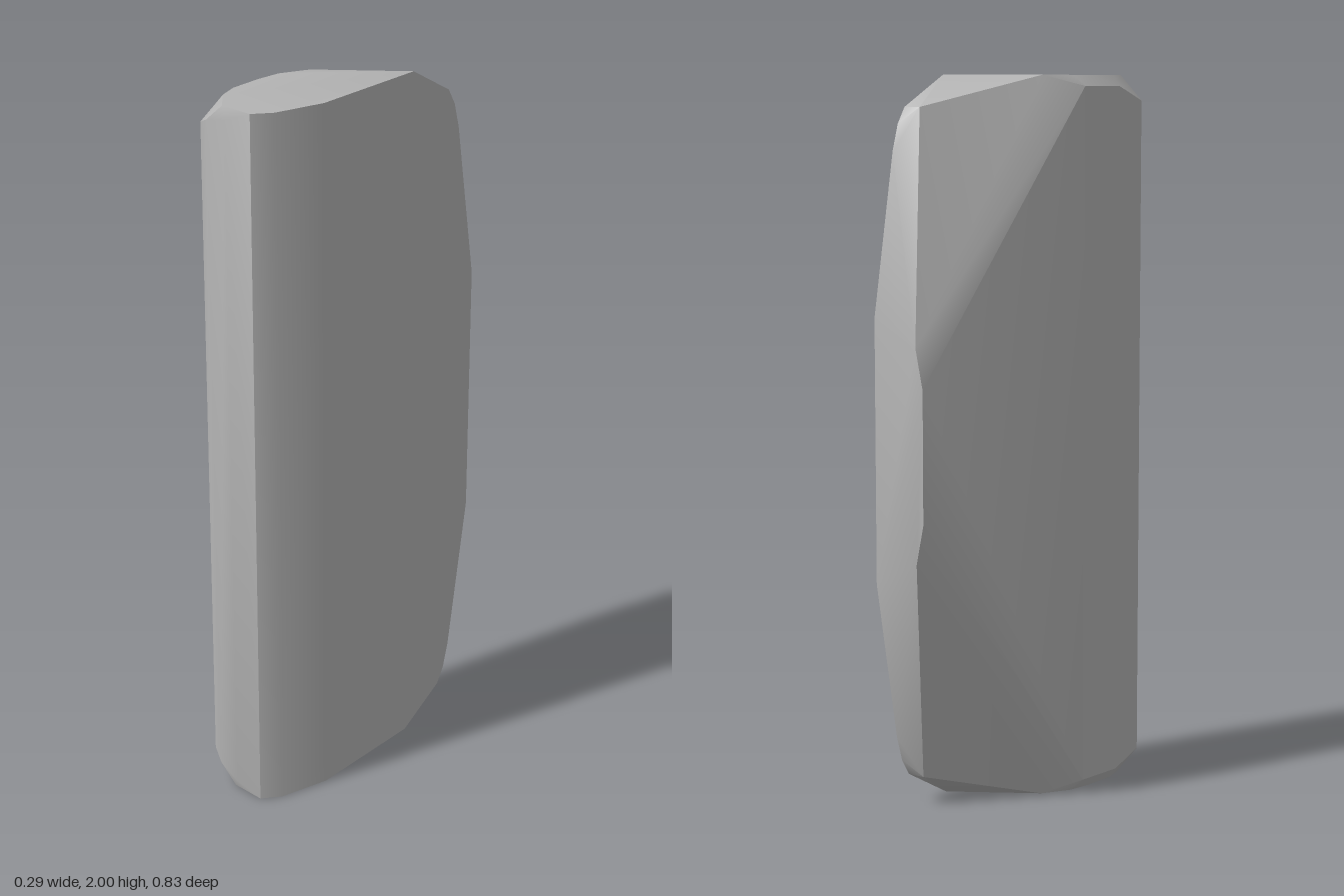
import * as THREE from 'three';
import { ConvexGeometry } from 'three/addons/geometries/ConvexGeometry.js';
import { toCreasedNormals } from 'three/addons/utils/BufferGeometryUtils.js';

// Corners of the upper half as [x, y, z]; the lower half mirrors them about y = 1.
const cap = [
  [0.142, 2, -0.14], [-0.075, 2, 0.02], [-0.115, 2, 0.1], [-0.122, 2, 0.17], [-0.12, 2, 0.27],
  [-0.1, 2, 0.33], [-0.04, 2, 0.4], [0.06, 2, 0.408], [0.1, 2, 0.36], [0.142, 2, 0.22],
];
const back = [
  [0.142, 1.915, -0.293], [0.142, 1.87, -0.32], [0.142, 1.8, -0.34], [0.09, 1.915, -0.29],
  [0.142, 1.36, -0.415], [-0.005, 1.29, -0.415], [-0.03, 1.18, -0.415],
];
const leftFront = [
  [-0.143, 1.97, 0.12], [-0.143, 1.97, 0.27], [-0.143, 1.93, 0.37],
  [-0.1, 1.95, 0.395], [-0.02, 1.97, 0.415],
];

export function createModel() {
  const stone = new THREE.MeshStandardMaterial({ color: 0xb4b4b4 });
  stone.name = 'stoneGrey';

  const points = [];
  for (const [x, y, z] of [...cap, ...back, ...leftFront]) {
    points.push(new THREE.Vector3(x, y, z), new THREE.Vector3(x, 2 - y, z));
  }

  // Faceted slab with softened shallow bends and crisp steep edges
  const slab = new THREE.Mesh(toCreasedNormals(new ConvexGeometry(points), Math.PI / 6), stone);
  slab.name = 'stoneSlab';

  const group = new THREE.Group();
  group.name = 'standingStone';
  group.add(slab);
  return group;
}
